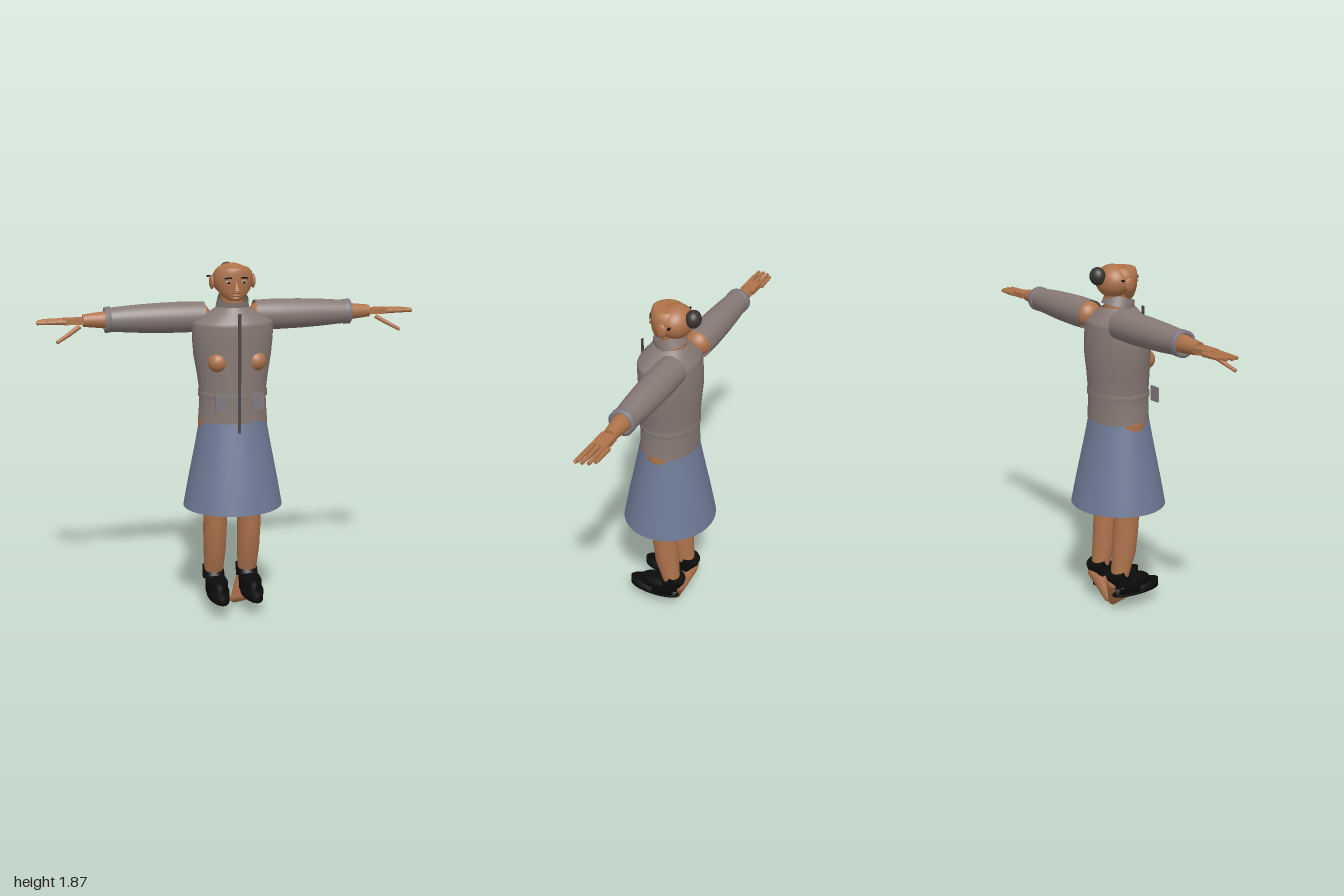
import * as THREE from 'three';
import { ConvexGeometry } from 'three/addons/geometries/ConvexGeometry.js';

const material = (name, color) => new THREE.MeshStandardMaterial({ name, color, side: THREE.DoubleSide });

// Smooth tube through elliptical sections: [y, radiusX, radiusZ, centreZ]
function loft(sections, segments = 40) {
  const positions = [], index = [];
  sections.forEach(([y, rx, rz, cz = 0], r) => {
    for (let i = 0; i < segments; i++) {
      const a = (i / segments) * Math.PI * 2;
      positions.push(Math.sin(a) * rx, y, cz + Math.cos(a) * rz);
      if (r === 0) continue;
      const j = (i + 1) % segments, low = (r - 1) * segments, high = r * segments;
      index.push(low + i, low + j, high + j, low + i, high + j, high + i);
    }
  });
  const g = new THREE.BufferGeometry();
  g.setAttribute('position', new THREE.Float32BufferAttribute(positions, 3));
  g.setIndex(index);
  g.computeVertexNormals();
  return g;
}

export function createModel() {
  const model = new THREE.Group();
  model.name = 'figure';
  const skin = material('skin', 0xae734b);
  const cloth = material('jacket cloth', 0x877974);
  const trim = material('jacket trim', 0x807a80);
  const dark = material('dark trim', 0x4a4446);
  const blue = material('skirt cloth', 0x6d7995);
  const black = material('black leather', 0x0b0b0b);
  const hair = material('hair', 0x38332f);
  const white = material('eye white', 0xb9aea6);
  const lip = material('lips', 0x8d5440);

  const add = (parent, name, geometry, mat, p = [0, 0, 0], s = [1, 1, 1]) => {
    const m = new THREE.Mesh(geometry, mat);
    m.name = name;
    m.position.set(...p);
    m.scale.set(...s);
    parent.add(m);
    return m;
  };
  const box = (w, h, d) => new THREE.BoxGeometry(w, h, d);
  const ball = new THREE.SphereGeometry(1, 32, 20);
  // Tapered rod between two points
  const rod = (parent, name, a, b, ra, rb, mat, segments = 20) => {
    const from = new THREE.Vector3(...a), to = new THREE.Vector3(...b);
    const dir = to.clone().sub(from);
    const m = add(parent, name, new THREE.CylinderGeometry(rb, ra, dir.length(), segments), mat);
    m.position.copy(from).add(to).multiplyScalar(0.5);
    m.quaternion.setFromUnitVectors(new THREE.Vector3(0, 1, 0), dir.normalize());
    return m;
  };

  // Clothing on the body
  add(model, 'jacket', loft([
    [1.055, 0.183, 0.15], [1.13, 0.177, 0.149], [1.2, 0.174, 0.149], [1.3, 0.187, 0.151, -0.002],
    [1.4, 0.204, 0.154, -0.006], [1.48, 0.211, 0.153, -0.003], [1.56, 0.213, 0.15, 0.002],
    [1.575, 0.2, 0.144, 0.002], [1.61, 0.14, 0.115, 0.002], [1.65, 0.078, 0.085, 0.002]]), cloth);
  add(model, 'skirt', loft([
    [0.59, 0.264, 0.245], [0.75, 0.235, 0.214, 0.001], [0.92, 0.201, 0.178, 0.002], [1.06, 0.176, 0.15, 0.003]]), blue);
  add(model, 'hips', loft([[1.02, 0.182, 0.13], [1.058, 0.185, 0.13], [1.066, 0.183, 0.12]]), skin);
  add(model, 'belt', loft([[1.185, 0.176, 0.15], [1.186, 0.182, 0.152], [1.213, 0.182, 0.152], [1.214, 0.178, 0.15]]), cloth);
  add(model, 'placket', box(0.016, 0.63, 0.008), dark, [0, 1.315, 0.158]);
  const collar = add(model, 'collar', new THREE.CylinderGeometry(0.078, 0.086, 0.055, 36, 1, true), cloth, [0, 1.672, 0.004]);
  collar.rotation.x = 0.3;
  add(model, 'neck', new THREE.CylinderGeometry(0.058, 0.062, 0.14, 28), skin, [0, 1.67, -0.015]);

  // Head
  const head = new THREE.Group();
  head.name = 'head';
  model.add(head);
  add(head, 'skull', ball, skin, [0, 1.783, -0.032], [0.1, 0.085, 0.085]);
  add(head, 'face', loft([
    [1.68, 0, 0, 0.05], [1.684, 0.03, 0.028, 0.048], [1.7, 0.055, 0.05, 0.035], [1.735, 0.085, 0.07, 0.02],
    [1.785, 0.103, 0.084, 0.01], [1.825, 0.098, 0.084, 0.01], [1.847, 0.08, 0.078, 0.012],
    [1.851, 0.07, 0.07, 0.012], [1.852, 0, 0, 0.012]]), skin);
  add(head, 'bun', ball, hair, [0, 1.815, -0.125], [0.044, 0.046, 0.04]);
  const nose = add(head, 'nose', new THREE.ConeGeometry(0.017, 0.055, 16), skin, [0, 1.765, 0.095]);
  nose.rotation.x = -0.15;
  add(head, 'upperLip', ball, lip, [0, 1.726, 0.087], [0.022, 0.006, 0.008]);
  add(head, 'lowerLip', ball, skin, [0, 1.714, 0.084], [0.022, 0.009, 0.012]);
  add(head, 'chin', ball, skin, [0, 1.699, 0.07], [0.024, 0.016, 0.02]);

  // Everything paired is built for the left side, then mirrored
  for (const side of [1, -1]) {
    const half = new THREE.Group();
    half.name = side > 0 ? 'leftSide' : 'rightSide';
    half.scale.x = side;
    model.add(half);

    // Face details
    add(half, 'ear', ball, skin, [0.108, 1.775, -0.005], [0.013, 0.036, 0.028]);
    add(half, 'hairpin', box(0.02, 0.008, 0.008), black, [0.115, 1.8, -0.05]);
    add(half, 'eye', ball, white, [0.04, 1.781, 0.086], [0.015, 0.008, 0.008]);
    add(half, 'iris', ball, black, [0.04, 1.781, 0.092], [0.007, 0.007, 0.004]);
    const brow = add(half, 'eyebrow', box(0.036, 0.007, 0.008), black, [0.042, 1.802, 0.088]);
    brow.rotation.set(0, 0.4, -0.1);

    // Chest and pocket
    add(half, 'chest', ball, skin, [0.1, 1.377, 0.102], [0.052, 0.052, 0.049]);
    add(half, 'pocket', box(0.06, 0.08, 0.009), trim, [0.096, 1.178, 0.167]);

    // Arm: the sleeve loft is laid along x
    add(half, 'shoulder', ball, skin, [0.16, 1.588, -0.075], [0.06, 0.068, 0.068]);
    const sleeve = add(half, 'sleeve', loft([
      [0.135, 0.077, 0.077], [0.25, 0.08, 0.079], [0.38, 0.077, 0.076], [0.5, 0.071, 0.07], [0.64, 0.06, 0.06]]),
    cloth, [0, 1.588, -0.077]);
    sleeve.rotation.z = -Math.PI / 2;
    const cuff = add(half, 'cuff', loft([
      [0.622, 0.055, 0.055], [0.622, 0.066, 0.066], [0.652, 0.066, 0.066], [0.652, 0.052, 0.052]]), trim, [0, 1.588, -0.077]);
    cuff.rotation.z = -Math.PI / 2;
    rod(half, 'forearm', [0.2, 1.588, -0.077], [0.66, 1.588, -0.077], 0.06, 0.044, skin);
    rod(half, 'wrist', [0.66, 1.588, -0.077], [0.762, 1.588, -0.077], 0.043, 0.032, skin);
    add(half, 'palm', box(0.1, 0.028, 0.075), skin, [0.81, 1.587, -0.077]);
    [[-0.122, 0.968], [-0.099, 0.99], [-0.071, 1], [-0.045, 0.997]].forEach(([z, tip]) => {
      const length = (tip - 0.85) / 3;
      for (let k = 0; k < 3; k++) {
        const x = 0.85 + k * length, r = 0.0125 - k * 0.0012;
        rod(half, 'finger', [x, 1.587, z], [x + length - 0.002, 1.587, z], r, r - 0.001, skin, 10);
      }
    });
    rod(half, 'thumb', [0.785, 1.565, -0.03], [0.845, 1.53, 0], 0.012, 0.011, skin, 10);
    rod(half, 'thumbTip', [0.845, 1.53, 0], [0.905, 1.498, 0.027], 0.011, 0.009, skin, 10);

    // Leg
    add(half, 'leg', loft([
      [0.14, 0.045, 0.042, -0.07], [0.21, 0.052, 0.048, -0.052], [0.33, 0.06, 0.066, -0.028],
      [0.45, 0.063, 0.07, -0.017], [0.6, 0.062, 0.072, -0.007], [0.95, 0.075, 0.085, 0]], 28), skin, [0.093, 0, 0]);

    // Foot: hull around ankle, inward-pointing heel and toes
    const points = [];
    const small = new THREE.SphereGeometry(1, 12, 8).attributes.position;
    [[0.09, 0.165, -0.088, 0.042], [0.022, 0.024, -0.05, 0.023], [0.09, 0.105, 0.11, 0.02]].forEach(([x, y, z, r]) => {
      for (let i = 0; i < small.count; i++) {
        points.push(new THREE.Vector3().fromBufferAttribute(small, i).multiplyScalar(r).add(new THREE.Vector3(x, y, z)));
      }
    });
    add(half, 'foot', new ConvexGeometry(points), skin);

    // Shoe: flat sole, raised upper and tilted ankle strap
    add(half, 'sole', loft([
      [0.085, 0, 0, 0.05], [0.085, 0.054, 0.148, 0.05], [0.132, 0.056, 0.148, 0.05], [0.132, 0, 0, 0.05]], 32), black, [0.093, 0, 0]);
    add(half, 'shoeUpper', loft([
      [0.1, 0, 0, 0.02], [0.1, 0.056, 0.112, 0.02], [0.165, 0.058, 0.112, 0.02], [0.178, 0.05, 0.1, 0.015], [0.178, 0, 0, 0.01]], 32),
    black, [0.093, 0, 0]);
    const strap = add(half, 'ankleStrap', new THREE.CylinderGeometry(0.056, 0.06, 0.075, 28), black, [0.093, 0.193, -0.068]);
    strap.rotation.x = -0.42;
  }
  return model;
}
